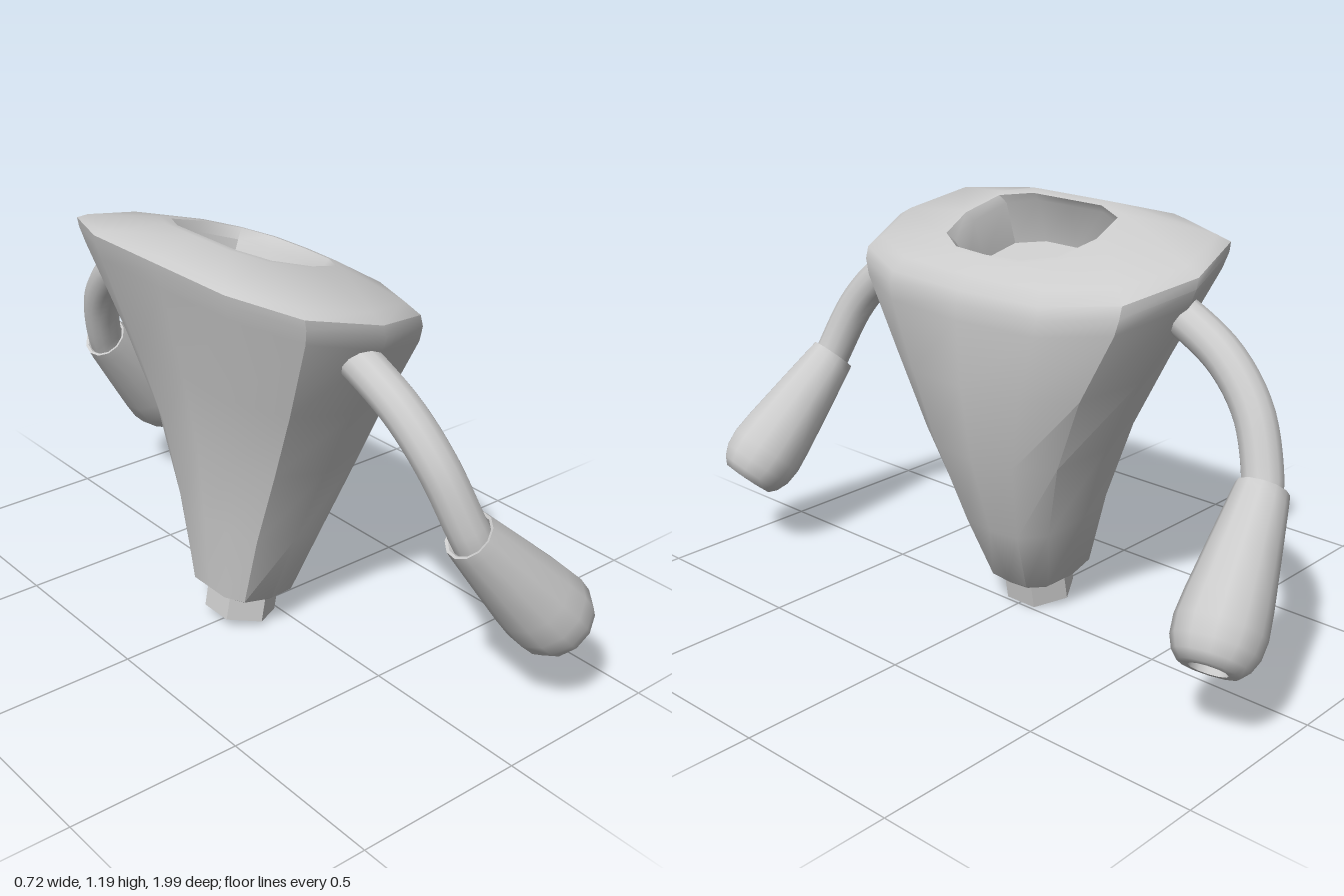
import * as THREE from 'three';
import { toCreasedNormals } from 'three/addons/utils/BufferGeometryUtils.js';

const material = new THREE.MeshStandardMaterial({ color: 0xcccccc, side: THREE.DoubleSide });

function addMesh(parent, name, geometry) {
  const mesh = new THREE.Mesh(geometry, material);
  mesh.name = name;
  parent.add(mesh);
  return mesh;
}

const vectors = (pairs) => pairs.map(([r, y]) => new THREE.Vector2(r, y));

// Twelve-sided outline (u along x, w along z), both from -1 to 1
const half = [[-1, 0], [-1, 0.527], [-0.74, 0.91], [-0.04, 1], [0.65, 0.85], [0.95, 0.49], [1, 0]];
const outline = [...half, ...half.slice(1, 6).reverse().map(([u, w]) => [u, -w])];

// Skin tilted rings given as [back x, back y, front x, front y, half width]
function loftRings(rings) {
  const positions = [];
  const index = [];
  const n = outline.length;
  rings.forEach(([xb, yb, xf, yf, hw], k) => {
    outline.forEach(([u, w], i) => {
      const t = (u + 1) / 2;
      positions.push(xb + (xf - xb) * t, yb + (yf - yb) * t, hw * w);
      if (k === 0) return;
      const j = (i + 1) % n;
      const a = (k - 1) * n + i, b = (k - 1) * n + j, c = k * n + j, d = k * n + i;
      index.push(a, b, c, a, c, d);
    });
  });
  const geometry = new THREE.BufferGeometry();
  geometry.setAttribute('position', new THREE.Float32BufferAttribute(positions, 3));
  geometry.setIndex(index);
  return toCreasedNormals(geometry, 0.7);
}

function createArm(side) {
  const arm = new THREE.Group();
  arm.name = side > 0 ? 'leftArm' : 'rightArm';

  // Curved upper arm
  const path = new THREE.CatmullRomCurve3([
    [-0.093, 0.995, 0.42], [-0.092, 0.965, 0.5], [-0.083, 0.885, 0.64],
    [-0.062, 0.77, 0.745], [-0.02, 0.62, 0.81], [0.005, 0.56, 0.825],
  ].map(([x, y, z]) => new THREE.Vector3(x, y, z * side)));
  addMesh(arm, 'upperArm', new THREE.TubeGeometry(path, 20, 0.055, 12));

  // Flared forearm with a socket in its end
  const start = new THREE.Vector3(-0.015, 0.6, 0.815 * side);
  const end = new THREE.Vector3(0.295, 0.245, 0.89 * side);
  const profile = vectors([
    [0.05, 0.03], [0.062, 0.002], [0.07, 0], [0.075, 0.03], [0.095, 0.17], [0.113, 0.3],
    [0.12, 0.37], [0.115, 0.42], [0.1, 0.455], [0.08, 0.476], [0.052, 0.478], [0.048, 0.42], [0, 0.42],
  ]);
  const forearm = addMesh(arm, 'forearm', toCreasedNormals(new THREE.LatheGeometry(profile, 12), 0.8));
  forearm.position.copy(start);
  forearm.quaternion.setFromUnitVectors(new THREE.Vector3(0, 1, 0), end.sub(start).normalize());
  return arm;
}

export function createModel() {
  const model = new THREE.Group();
  model.name = 'torsoWithArms';

  // Tapered torso, rounded rim, crowned top and neck recess in one skin
  addMesh(model, 'torso', loftRings([
    [-0.08, 0.1, -0.08, 0.1, 0],
    [-0.195, 0.118, 0.03, 0.082, 0.12],
    [-0.21, 0.13, 0.045, 0.093, 0.135],
    [-0.222, 0.36, 0.12, 0.28, 0.2],
    [-0.242, 0.6, 0.195, 0.52, 0.295],
    [-0.285, 0.82, 0.232, 0.74, 0.405],
    [-0.345, 1.08, 0.245, 0.93, 0.535],
    [-0.356, 1.125, 0.244, 0.975, 0.55],
    [-0.36, 1.15, 0.233, 1.01, 0.55],
    [-0.34, 1.163, 0.2, 1.045, 0.51],
    [-0.23, 1.195, 0.145, 1.083, 0.26],
    [-0.2, 1.187, 0.13, 1.088, 0.24],
    [-0.215, 1.165, 0.107, 1.06, 0.225],
    [-0.245, 1.04, 0.065, 0.95, 0.22],
    [-0.09, 0.995, -0.09, 0.995, 0],
  ]));

  // Hollow six-sided waist plug
  const plugProfile = vectors([[0, 0.06], [0.08, 0.06], [0.08, 0], [0.104, 0], [0.104, 0.12]]);
  const plug = addMesh(model, 'waistPlug', toCreasedNormals(new THREE.LatheGeometry(plugProfile, 6), 0.3));
  plug.position.set(-0.1, 0.02, 0);
  plug.rotation.z = -0.18;

  model.add(createArm(1), createArm(-1));
  return model;
}
